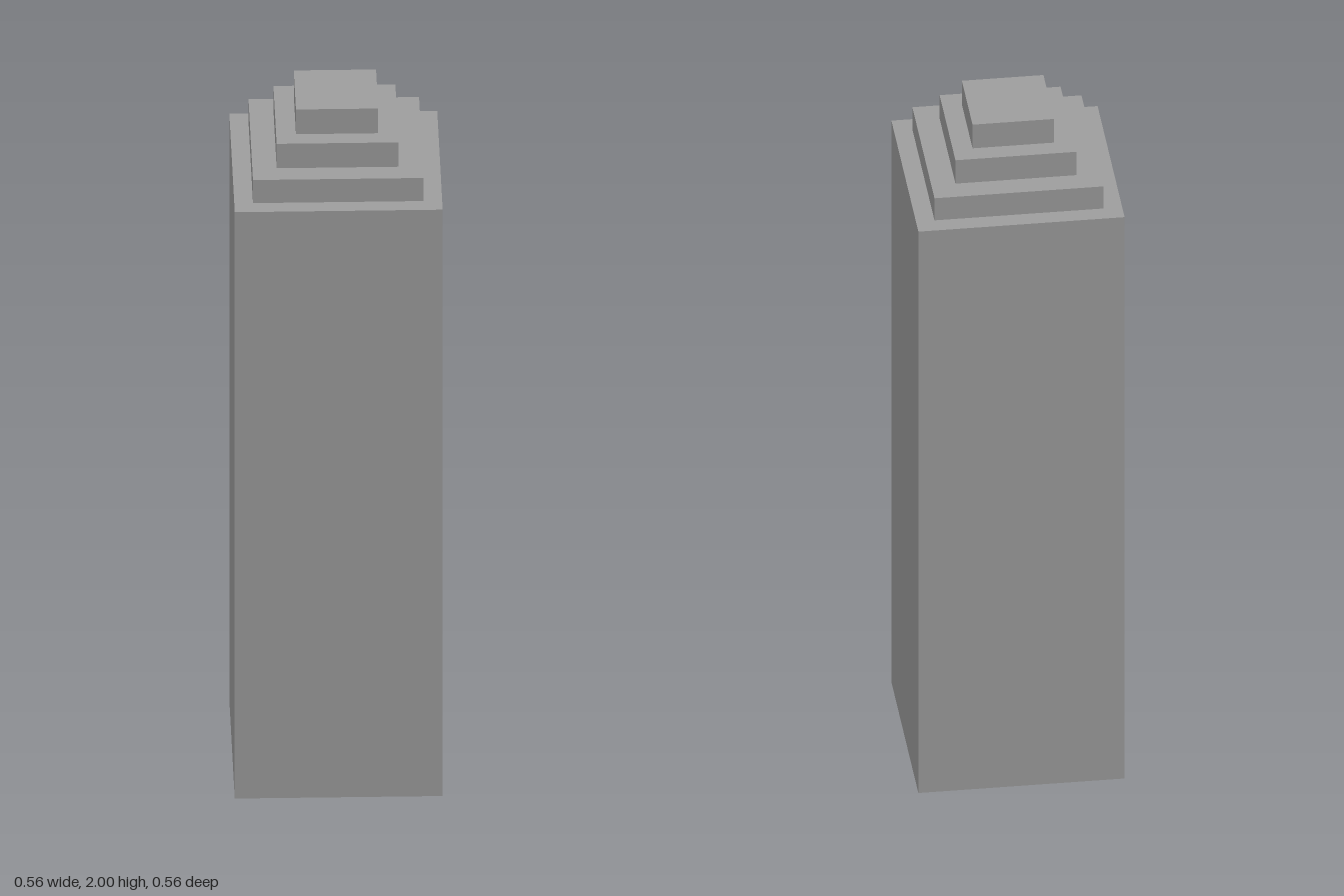
import * as THREE from 'three';

export function createModel() {
  const model = new THREE.Group();
  model.name = 'steppedTower';
  const material = new THREE.MeshStandardMaterial({ color: 0x9d9d9d, flatShading: true });

  // Square tiers from the ground up: name, width, top height
  const tiers = [
    ['towerShaft', 0.556, 1.781],
    ['lowerSetback', 0.456, 1.851],
    ['middleSetback', 0.326, 1.925],
    ['roofCap', 0.22, 2],
  ];

  // Each tier rests on the one below
  let base = 0;
  for (const [name, width, top] of tiers) {
    const tier = new THREE.Mesh(new THREE.BoxGeometry(width, top - base, width), material);
    tier.name = name;
    tier.position.y = (base + top) / 2;
    model.add(tier);
    base = top;
  }

  return model;
}
